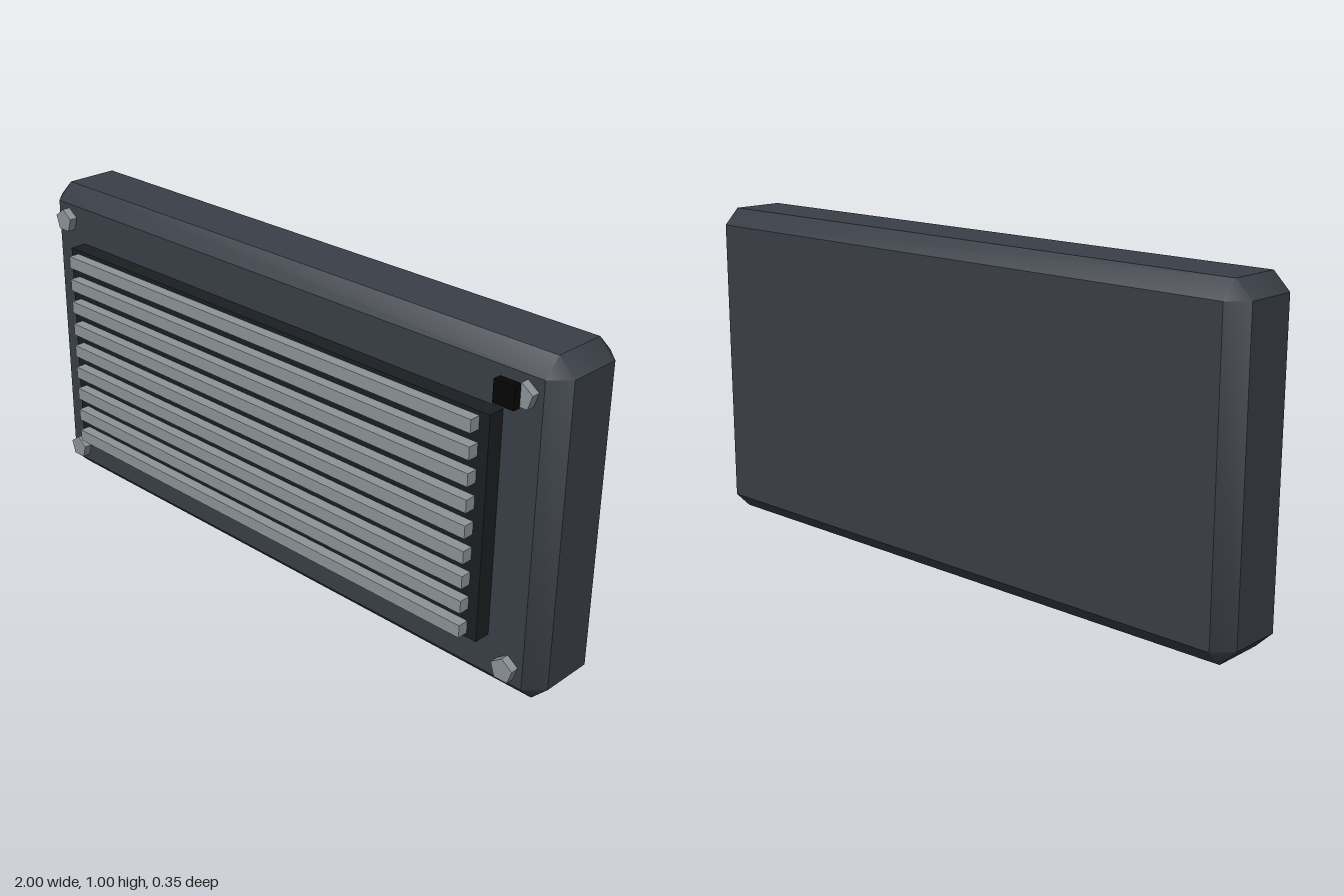
import * as THREE from 'three';
import { toCreasedNormals } from 'three/addons/utils/BufferGeometryUtils.js';
import { ConvexGeometry } from 'three/addons/geometries/ConvexGeometry.js';

const paint = (color, flatShading = false) => {
  const m = new THREE.MeshStandardMaterial({ color });
  m.flatShading = flatShading;
  return m;
};

// Box with every edge chamfered: three points at each corner
function chamferedBox(w, h, d, c) {
  const points = [];
  for (const sx of [-1, 1]) for (const sy of [-1, 1]) for (const sz of [-1, 1]) {
    for (let axis = 0; axis < 3; axis++) {
      const [x, y, z] = [w / 2, h / 2, d / 2].map((v, i) => (i === axis ? v : v - c));
      points.push(new THREE.Vector3(sx * x, sy * y, sz * z));
    }
  }
  return toCreasedNormals(new ConvexGeometry(points), THREE.MathUtils.degToRad(40));
}

export function createModel() {
  const model = new THREE.Group();
  const add = (name, geometry, material, x, y, z) => {
    const mesh = new THREE.Mesh(geometry, material);
    mesh.name = name;
    mesh.position.set(x, y, z);
    model.add(mesh);
  };

  // Housing
  add('housing', chamferedBox(2, 1, 0.265, 0.05), paint(0x3a3f47), 0, 0.5, -0.041);

  // Dark panel behind the slats
  add('ventPanel', new THREE.BoxGeometry(1.664, 0.665, 0.06), paint(0x1b1f22), 0, 0.502, 0.113);

  // Nine horizontal slats
  const slat = new THREE.BoxGeometry(1.6, 0.038, 0.035);
  const slatPaint = paint(0x8d9597);
  for (let i = 0; i < 9; i++) {
    add('slat', slat, slatPaint, 0, 0.202 + i * 0.0752, 0.159);
  }

  // Five-sided screws at the corners
  const screw = new THREE.CylinderGeometry(0.037, 0.037, 0.03, 5).rotateX(-Math.PI / 2);
  const screwPaint = paint(0x8d9399, true);
  for (const x of [-0.9, 0.9]) {
    for (const y of [0.1, 0.9]) add('screw', screw, screwPaint, x, y, 0.102);
  }

  // Small black indicator
  add('indicator', new THREE.BoxGeometry(0.066, 0.066, 0.026), paint(0x050505), 0.866, 0.9, 0.127);

  return model;
}
